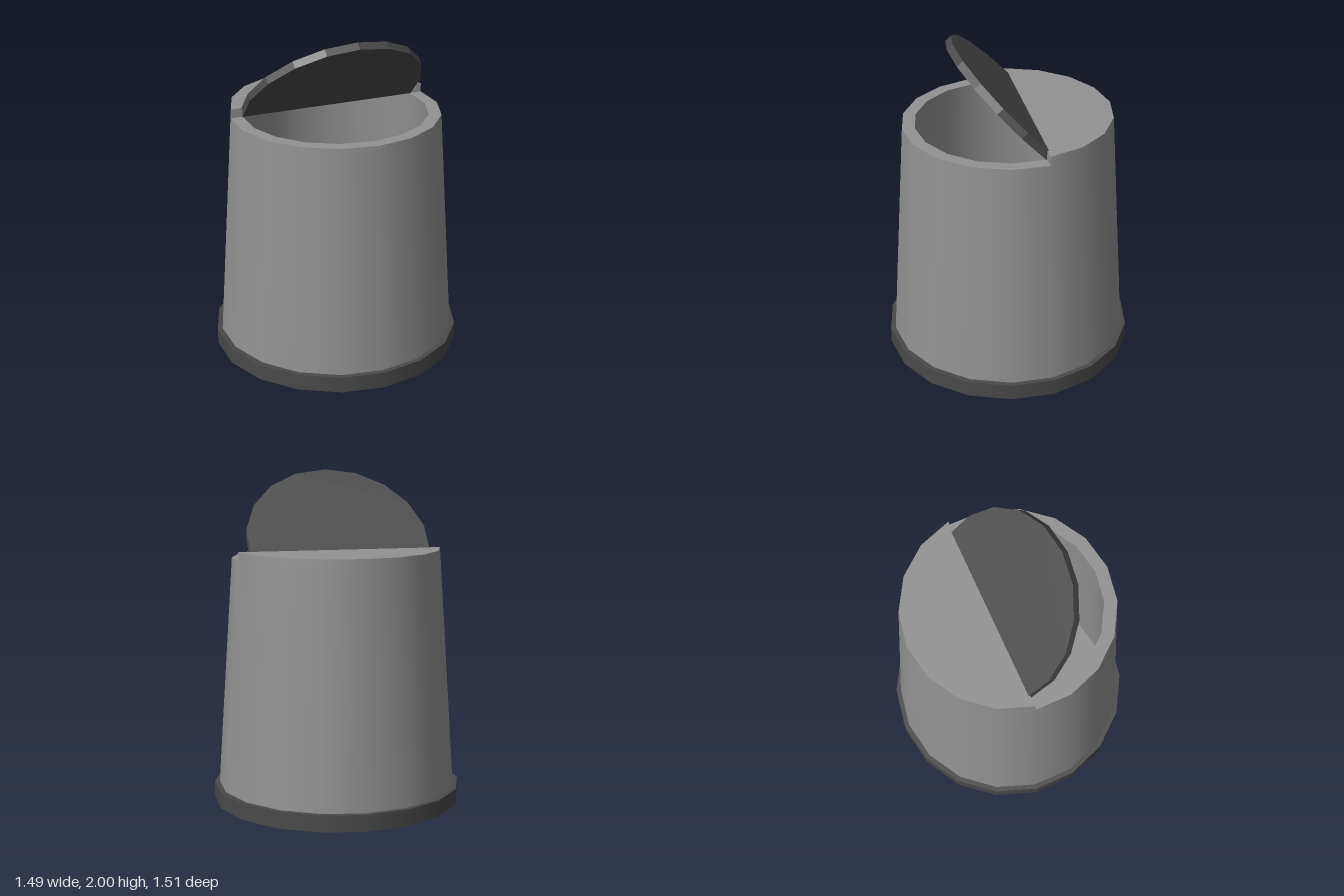
import * as THREE from 'three';
import { mergeGeometries } from 'three/addons/utils/BufferGeometryUtils.js';

const SIDES = 18;
const STEP = (Math.PI * 2) / SIDES;
const RIM_Y = 1.49, HINGE_Z = -0.106, LID_H = 0.055;

const mat = (name, color) => {
  const m = new THREE.MeshStandardMaterial({ color });
  m.name = name;
  return m;
};

// Points on an 18-sided ring, from vertex `from` to vertex `to`; y of the result runs towards the front
function arc(r, from, to) {
  const pts = [];
  for (let i = from; i <= to; i++) pts.push(new THREE.Vector2(r * Math.sin(i * STEP), r * Math.cos(i * STEP)));
  return pts;
}

// Revolves each profile segment by itself so the corners stay sharp
function sharpLathe(profile) {
  const parts = [];
  for (let i = 0; i + 1 < profile.length; i++) {
    const seg = [profile[i], profile[i + 1]].map(([r, y]) => new THREE.Vector2(r, y));
    parts.push(new THREE.LatheGeometry(seg, SIDES));
  }
  return mergeGeometries(parts);
}

export function createModel() {
  const group = new THREE.Group();
  const grey = mat('grey plastic', 0x929292);
  const dark = mat('dark plastic', 0x4a4a4a);
  const add = (name, geometry, material, parent = group) => {
    const mesh = new THREE.Mesh(geometry, material);
    mesh.name = name;
    parent.add(mesh);
    return mesh;
  };

  // Base plinth
  add('base', new THREE.CylinderGeometry(0.755, 0.755, 0.1, SIDES).translate(0, 0.05, 0), dark);

  // Tapered bucket: outer wall, rim, inner wall, floor
  add('bucket', sharpLathe([[0.725, 0.1], [0.632, RIM_Y], [0.555, RIM_Y], [0.645, 0.11], [0, 0.11]]), grey);

  // Fixed rear half of the lid
  const lid = new THREE.Group();
  lid.name = 'rearLid';
  group.add(lid);
  add('lidWall', new THREE.CylinderGeometry(0.628, 0.632, LID_H, 8, 1, true, 5 * STEP, 8 * STEP)
    .translate(0, RIM_Y + LID_H / 2, 0), grey, lid);
  const outline = (r) => new THREE.Shape(arc(r, 5, 13).map((p) => new THREE.Vector2(p.x, -p.y)));
  add('lidTop', new THREE.ShapeGeometry(outline(0.628)).rotateX(-Math.PI / 2)
    .translate(0, RIM_Y + LID_H, 0), grey, lid);
  const under = new THREE.Shape(arc(0.632, 5, 13));
  add('lidUnderside', new THREE.ShapeGeometry(under).rotateX(Math.PI / 2)
    .translate(0, RIM_Y, 0), grey, lid);
  add('lidFrontEdge', new THREE.PlaneGeometry(1.24, LID_H)
    .translate(0, RIM_Y + LID_H / 2, 0.628 * Math.cos(5 * STEP)), grey, lid);

  // Hinged flap, swung open
  const thickness = 0.0475;
  const flapPts = arc(0.557, -4, 4);
  flapPts.push(new THREE.Vector2(0.548, HINGE_Z));
  flapPts.unshift(new THREE.Vector2(-0.548, HINGE_Z));
  const flapShape = new THREE.Shape(flapPts.map((p) => new THREE.Vector2(p.x, p.y - HINGE_Z)));
  const flap = add('flap', new THREE.ExtrudeGeometry(flapShape, { depth: thickness, bevelEnabled: false })
    .translate(0, 0, -thickness), dark);
  flap.position.set(0, RIM_Y, HINGE_Z);
  flap.rotation.x = THREE.MathUtils.degToRad(44);

  return group;
}
